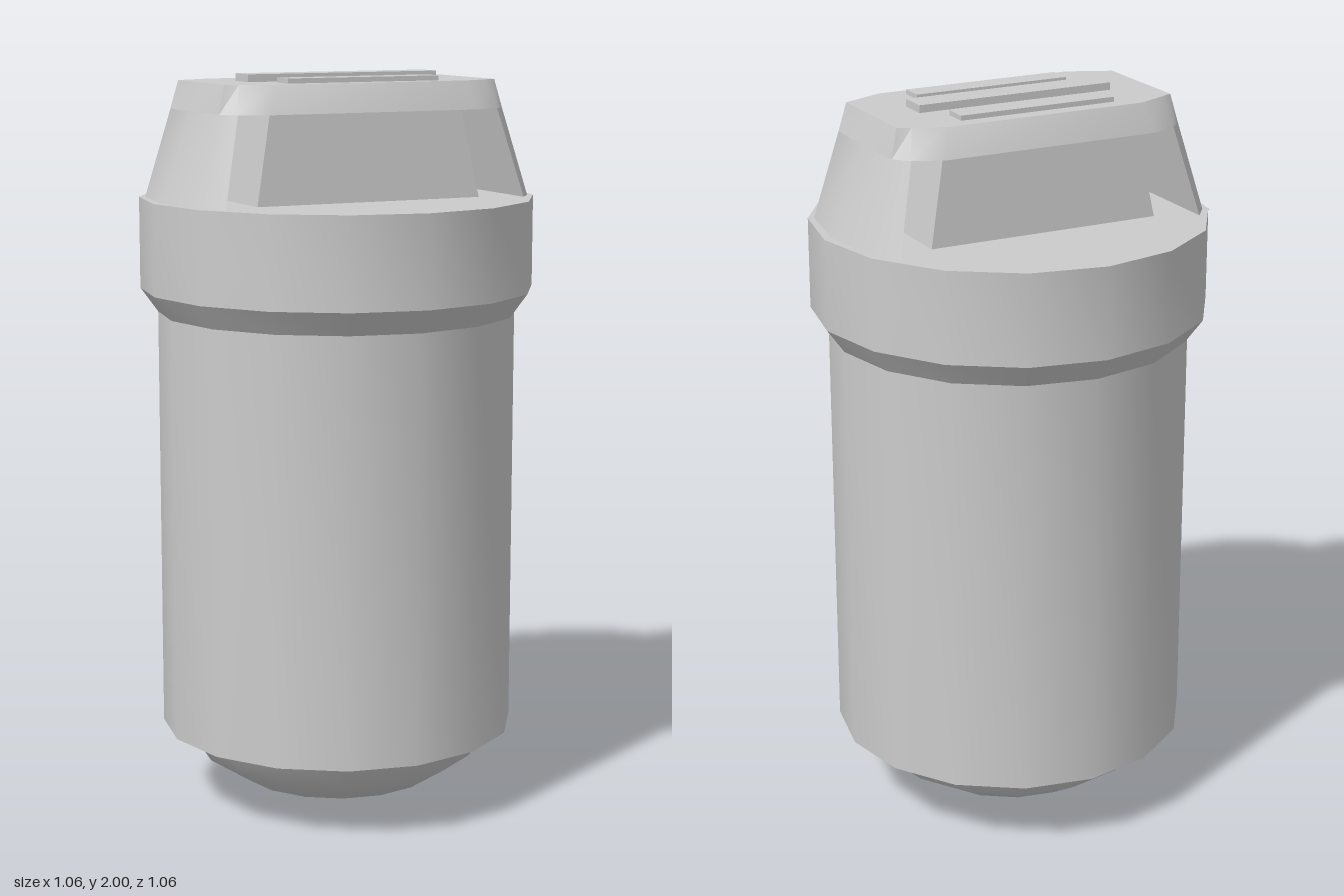
import * as THREE from 'three';
import { toCreasedNormals } from 'three/addons/utils/BufferGeometryUtils.js';

const material = new THREE.MeshStandardMaterial({ color: 0xcccccc });

function addPart(group, name, geometry, crease = 0.6) {
  const mesh = new THREE.Mesh(toCreasedNormals(geometry, crease), material);
  mesh.name = name;
  group.add(mesh);
  return mesh;
}

// Turned part with 16 sides; profile is [radius, height] from bottom to top
function turned(profile) {
  return new THREE.LatheGeometry(profile.map(([r, y]) => new THREE.Vector2(r, y)), 16);
}

// Capped solid between two convex [x, z] rings, anticlockwise from above
function loft(lower, yLow, upper, yHigh) {
  const n = lower.length;
  const positions = [];
  const low = (i) => [lower[i % n][0], yLow, lower[i % n][1]];
  const high = (i) => [upper[i % n][0], yHigh, upper[i % n][1]];
  const tri = (...points) => points.forEach((p) => positions.push(...p));
  for (let i = 0; i < n; i++) {
    tri(low(i), low(i + 1), high(i + 1));
    tri(low(i), high(i + 1), high(i));
    if (i > 0 && i < n - 1) {
      tri(high(0), high(i), high(i + 1));
      tri(low(0), low(i + 1), low(i));
    }
  }
  const geometry = new THREE.BufferGeometry();
  geometry.setAttribute('position', new THREE.Float32BufferAttribute(positions, 3));
  return geometry;
}

// Mirror a half ring (x > 0, running from +z to -z) into a full ring
const fullRing = (half) => [...half, ...half.map(([x, z]) => [-x, -z])];

// Complete a quarter of points (from the +z end to the middle) across z
const acrossZ = (quarter) => [
  ...quarter,
  ...quarter.slice().reverse().filter(([, z]) => z !== 0).map(([x, z]) => [x, -z]),
];

export function createModel() {
  const model = new THREE.Group();
  model.name = 'canister';

  // Rounded base, body and collar
  addPart(model, 'baseDome', turned([[0, 0], [0.15, 0.022], [0.27, 0.06], [0.385, 0.135], [0.435, 0.21]]), 0.75);
  addPart(model, 'body', turned([[0, 0.21], [0.485, 0.21], [0.485, 1.36]]));
  addPart(model, 'collar', turned([[0.485, 1.36], [0.532, 1.425], [0.532, 1.67], [0, 1.67]]));

  // Handle: top plate, two splayed legs and a tapered core
  const handle = new THREE.Group();
  handle.name = 'handle';
  model.add(handle);

  const plateLow = fullRing(acrossZ([[0.3, 0.235], [0.38, 0.2], [0.414, 0.163], [0.423, 0]]));
  const plateTop = fullRing(acrossZ([[0.28, 0.203], [0.36, 0.168], [0.395, 0.153], [0.395, 0]]));
  addPart(handle, 'topPlate', loft(plateLow, 1.905, plateTop, 1.98), 0.45);

  const legLow = acrossZ([[0.435, 0.25], [0.475, 0.2], [0.51, 0]]);
  const legTop = acrossZ([[0.378, 0.2], [0.414, 0.163], [0.423, 0]]);
  for (const side of [1, -1]) {
    const leg = addPart(handle, side > 0 ? 'leftLeg' : 'rightLeg', loft(legLow, 1.67, legTop, 1.905), 0.75);
    if (side < 0) leg.rotation.y = Math.PI;
  }

  const coreLow = fullRing([[0.325, 0.2], [0.325, -0.2]]);
  const coreTop = fullRing([[0.28, 0.18], [0.28, -0.18]]);
  addPart(handle, 'core', loft(coreLow, 1.67, coreTop, 1.905), 0.3);

  // Grip ribs on the plate
  for (const [z, length, width, height] of [[-0.128, 0.44, 0.066, 0.013], [0, 0.556, 0.08, 0.02], [0.128, 0.44, 0.066, 0.013]]) {
    const rib = addPart(handle, 'gripRib', new THREE.BoxGeometry(length, height, width), 0.3);
    rib.position.set(0, 1.98 + height / 2, z);
  }

  return model;
}
